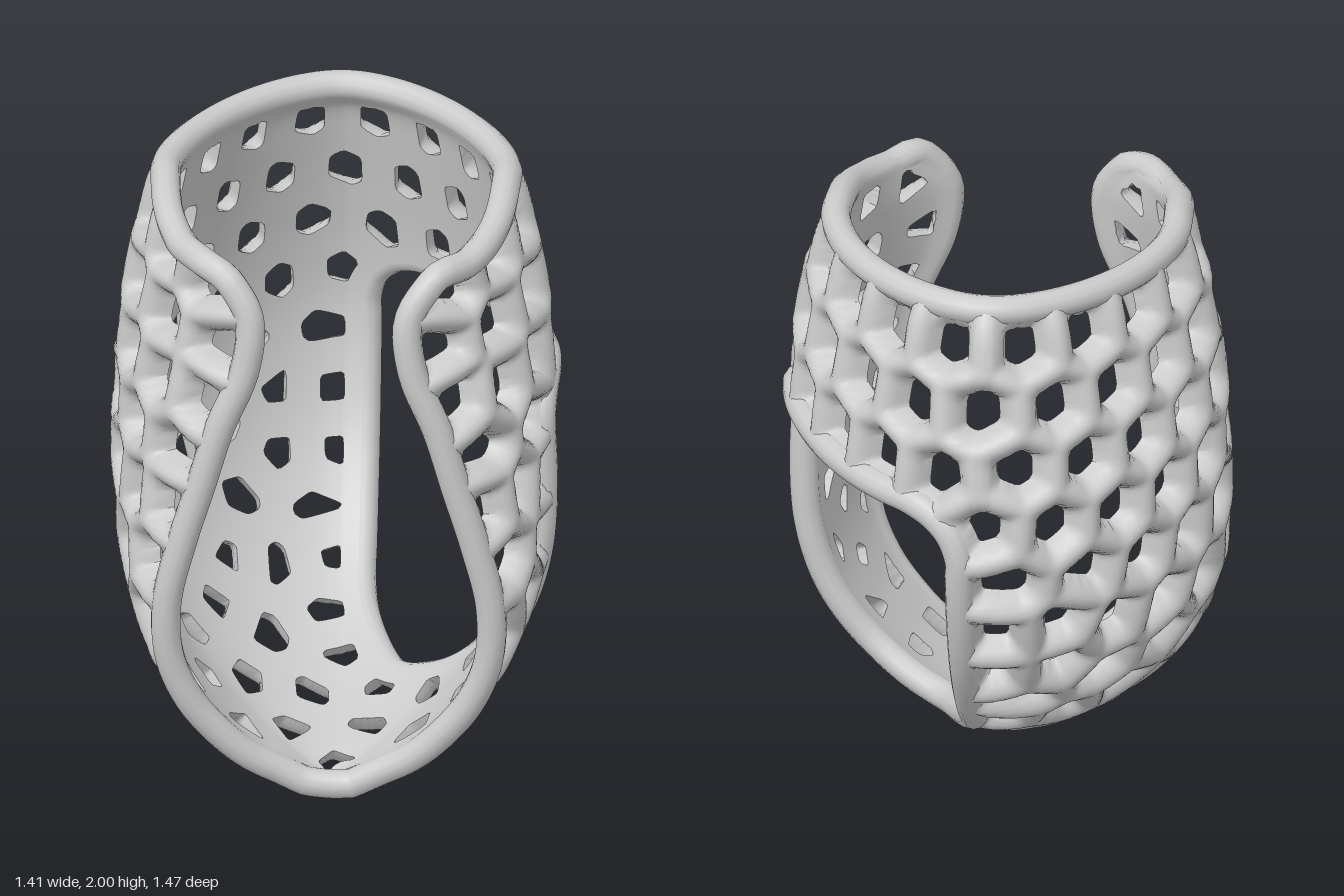
import * as THREE from 'three';
import { mergeVertices } from 'three/addons/utils/BufferGeometryUtils.js';

const NU = 220, NV = 160;      // surface grid
const WALL = 0.086;            // strut height above the inner surface
const STRUT = 0.057;           // strut half width
const PITCH = 0.212;           // spacing of the lattice cells
const RIM = 0.047;             // rim radius

// Horizontal sections, top to bottom: y, back z, half width, half opening, front z
const SECTIONS = [
  [1.94, -0.47, 0.495, 0.42, 0.50], [1.88, -0.515, 0.525, 0.30, 0.595], [1.75, -0.55, 0.555, 0.23, 0.635],
  [1.55, -0.595, 0.59, 0.25, 0.65], [1.35, -0.63, 0.612, 0.325, 0.655], [1.15, -0.64, 0.62, 0.38, 0.655],
  [0.95, -0.605, 0.62, 0.435, 0.655], [0.75, -0.53, 0.60, 0.475, 0.652], [0.57, -0.41, 0.545, 0.465, 0.645],
  [0.42, -0.26, 0.455, 0.405, 0.635], [0.30, -0.08, 0.345, 0.315, 0.62], [0.215, 0.12, 0.24, 0.225, 0.605],
  [0.16, 0.33, 0.145, 0.135, 0.585], [0.12, 0.48, 0.07, 0.064, 0.575], [0.095, 0.54, 0.012, 0.01, 0.57],
];

// Half of one section, from the middle of the back round to the front edge
function halfSection(zb, w, e, zf, power) {
  const zm = zb + 0.58 * (zf - zb), pts = [];
  for (let k = 0; k <= 10; k++) {
    const a = (k / 10) * Math.PI / 2;
    pts.push(new THREE.Vector3(w * Math.sin(a) ** 1.21, 0, zm - (zm - zb) * Math.cos(a) ** 1.21));
  }
  for (let k = 1; k <= 6; k++) {
    const a = (k / 6) * Math.PI / 2;
    pts.push(new THREE.Vector3(e + (w - e) * Math.cos(a) ** power, 0, zm + (zf - zm) * Math.sin(a) ** power));
  }
  return new THREE.CatmullRomCurve3(pts);
}

// Smooth inner surface as a bent plane grid, its top front corners slightly dropped
function buildBase() {
  const geo = new THREE.PlaneGeometry(1, 1, NU, NV), pos = geo.attributes.position;
  const back = new THREE.CatmullRomCurve3(SECTIONS.map(s => new THREE.Vector3(s[2], s[0], s[1])), false, 'catmullrom');
  const front = new THREE.CatmullRomCurve3(SECTIONS.map(s => new THREE.Vector3(s[3], 0, s[4])), false, 'catmullrom');
  for (let j = 0; j <= NV; j++) {
    const t = back.getUtoTmapping(j / NV), b = back.getPoint(t), f = front.getPoint(t);
    const top = THREE.MathUtils.smoothstep(b.y, 1.4, 1.94);
    const half = halfSection(b.z, b.x, Math.min(f.x, b.x), f.z, 1.3 + 0.15 * top);
    for (let i = 0; i <= NU; i++) {
      const u = 1 - 2 * i / NU, p = half.getPointAt(Math.abs(u));
      pos.setXYZ(j * (NU + 1) + i, Math.sign(u) * p.x, b.y - 0.025 * top * u ** 6, p.z);
    }
  }
  geo.computeVertexNormals();
  return geo;
}

// Signed distance to the rounded side window (negative inside)
function windowField(p) {
  const r = 0.17;
  const q = [0.055 - p.x, p.z - 0.24, p.y - 1.32, 0.24 - p.y].map(v => v + r);
  return Math.min(Math.max(...q), 0) + Math.hypot(...q.map(v => Math.max(v, 0))) - r;
}

// Cell centres: staggered rows above, filled in below, then evened out
function buildSeeds(P, win) {
  const row = NU + 1, seeds = [], ids = [];
  for (let n = 0; n < P.length; n++) if (win[n] > 0) ids.push(n);
  const weight = ids.map(n => {
    const i = Math.min(n % row, NU - 1), j = Math.min(Math.floor(n / row), NV - 1), k = j * row + i;
    return P[k + 1].clone().sub(P[k]).cross(P[k + row].clone().sub(P[k])).length();
  });
  for (let k = 0; k < 6; k++) {
    let j = 0;
    while (P[j * row + NU / 2].y > 1.82 - 0.19 * k) j++;
    const centre = j * row + NU / 2;
    if (k % 2) seeds.push(P[centre].clone());
    for (const side of [-1, 1]) {
      let run = k % 2 ? 0 : PITCH / 2;
      for (let i = 1; i < NU / 2 - 3; i++) {
        const n = centre + side * i;
        run += P[n].distanceTo(P[n - side]);
        if (run < PITCH) continue;
        run -= PITCH;
        if (win[n] > 0.06) seeds.push(P[n].clone());
      }
    }
  }
  const near = ids.map(n => Math.min(...seeds.map(s => s.distanceTo(P[n]))));
  for (let guard = 0; guard < 200; guard++) {
    let far = 0;
    near.forEach((d, k) => { if (d > near[far]) far = k; });
    if (near[far] < 0.178) break;
    const s = P[ids[far]].clone();
    seeds.push(s);
    ids.forEach((n, k) => { near[k] = Math.min(near[k], s.distanceTo(P[n])); });
  }
  for (let pass = 0; pass < 12; pass++) {
    const sum = seeds.map(() => new THREE.Vector3()), total = seeds.map(() => 1e-9);
    ids.forEach((n, k) => {
      let best = 0, bd = Infinity;
      for (let s = 0; s < seeds.length; s++) {
        const d = seeds[s].distanceToSquared(P[n]);
        if (d < bd) { bd = d; best = s; }
      }
      sum[best].addScaledVector(P[n], weight[k]);
      total[best] += weight[k];
    });
    seeds.forEach((s, k) => { if (total[k] > 1e-8) s.copy(sum[k]).divideScalar(total[k]); });
  }
  return seeds;
}

// Distances to the borders of the cell and to the rims, blended so that corners fill out
function strutDistance(p, seeds, rimDistance) {
  const soft = 0.004, d2 = seeds.map(s => s.distanceToSquared(p));
  let a = 0, sum = Math.exp(-rimDistance / soft);
  d2.forEach((d, k) => { if (d < d2[a]) a = k; });
  for (let k = 0; k < seeds.length; k++) {
    if (k !== a) sum += Math.exp((d2[a] - d2[k]) / (2 * seeds[k].distanceTo(seeds[a])) / soft);
  }
  return Math.max(0, -soft * Math.log(sum));
}

function surface(coords, name, material) {
  let geo = new THREE.BufferGeometry();
  geo.setAttribute('position', new THREE.Float32BufferAttribute(coords, 3));
  geo = mergeVertices(geo, 1e-5);
  geo.computeVertexNormals();
  const mesh = new THREE.Mesh(geo, material);
  mesh.name = name;
  return mesh;
}

export function createModel() {
  const group = new THREE.Group();
  group.name = 'latticeBrace';
  const material = new THREE.MeshStandardMaterial({ color: 0xcccccc, side: THREE.DoubleSide });
  const base = buildBase(), row = NU + 1, P = [], N = [];
  for (let n = 0; n < base.attributes.position.count; n++) {
    P.push(new THREE.Vector3().fromBufferAttribute(base.attributes.position, n));
    N.push(new THREE.Vector3().fromBufferAttribute(base.attributes.normal, n));
  }
  const win = P.map(windowField), seeds = buildSeeds(P, win);
  const lift = n => P[n].clone().addScaledVector(N[n], RIM);

  // Outer edge loop: along the top, down one front edge and up the other
  const edge = [];
  for (let i = 4; i < NU - 2; i += 4) edge.push(i);
  for (let j = 2; j < NV - 2; j += 3) edge.push(j * row + NU);
  for (let j = NV - 3; j > 0; j -= 3) edge.push(j * row);

  // Window loop: walk outwards from the middle of the window
  let mid = 0;
  win.forEach((f, n) => { if (f < win[mid]) mid = n; });
  const windowLoop = [];
  for (let k = 0; k < 60; k++) {
    const a = (k / 60) * Math.PI * 2;
    let prev = mid;
    for (let t = 0.5; t < 160; t += 0.5) {
      const i = THREE.MathUtils.clamp(Math.round(mid % row + t * Math.cos(a)), 0, NU);
      const j = THREE.MathUtils.clamp(Math.round(Math.floor(mid / row) + t * Math.sin(a)), 0, NV);
      const n = j * row + i;
      if (win[n] > 0) {
        windowLoop.push(lift(prev).lerp(lift(n), win[prev] / (win[prev] - win[n] || 1)));
        break;
      }
      prev = n;
    }
  }

  // Strut distance at every grid point, counting both rims as struts
  const dist = P.map((p, n) => {
    let rim = Math.abs(win[n]);
    for (const e of edge) rim = Math.min(rim, p.distanceTo(P[e]));
    return strutDistance(p, seeds, rim);
  });
  const keep = dist.map((d, n) => Math.min(STRUT - d, win[n]));

  // Cut the cell holes and the window, then raise rounded struts on the outside
  const outer = [], inner = [], index = base.index.array;
  const corner = (p, n, d) => {
    const h = WALL * Math.max(0, 1 - (d / STRUT) ** 2) ** 0.6;
    return { inside: p, outside: p.clone().addScaledVector(n, h) };
  };
  for (let f = 0; f < index.length; f += 3) {
    const poly = [];
    for (let k = 0; k < 3; k++) {
      const a = index[f + k], b = index[f + (k + 1) % 3];
      if (keep[a] > 0) poly.push(corner(P[a], N[a], dist[a]));
      if ((keep[a] > 0) !== (keep[b] > 0)) {
        const [s, e] = keep[a] > 0 ? [a, b] : [b, a], t = keep[s] / (keep[s] - keep[e]);
        poly.push(corner(P[s].clone().lerp(P[e], t), N[s].clone().lerp(N[e], t), dist[s] + (dist[e] - dist[s]) * t));
      }
    }
    for (let k = 2; k < poly.length; k++) {
      for (const c of [poly[0], poly[k - 1], poly[k]]) outer.push(...c.outside.toArray());
      for (const c of [poly[0], poly[k], poly[k - 1]]) inner.push(...c.inside.toArray());
    }
  }
  group.add(surface(outer, 'latticeStruts', material), surface(inner, 'innerWall', material));

  // Rounded rims
  const addRim = (points, name) => {
    const path = new THREE.CatmullRomCurve3(points, true);
    const rim = new THREE.Mesh(new THREE.TubeGeometry(path, 220, RIM, 12, true), material);
    rim.name = name;
    group.add(rim);
  };
  addRim(edge.map(lift), 'outerRim');
  addRim(windowLoop, 'windowRim');

  // Stand on the ground
  group.position.y = -new THREE.Box3().setFromObject(group).min.y;
  return group;
}
